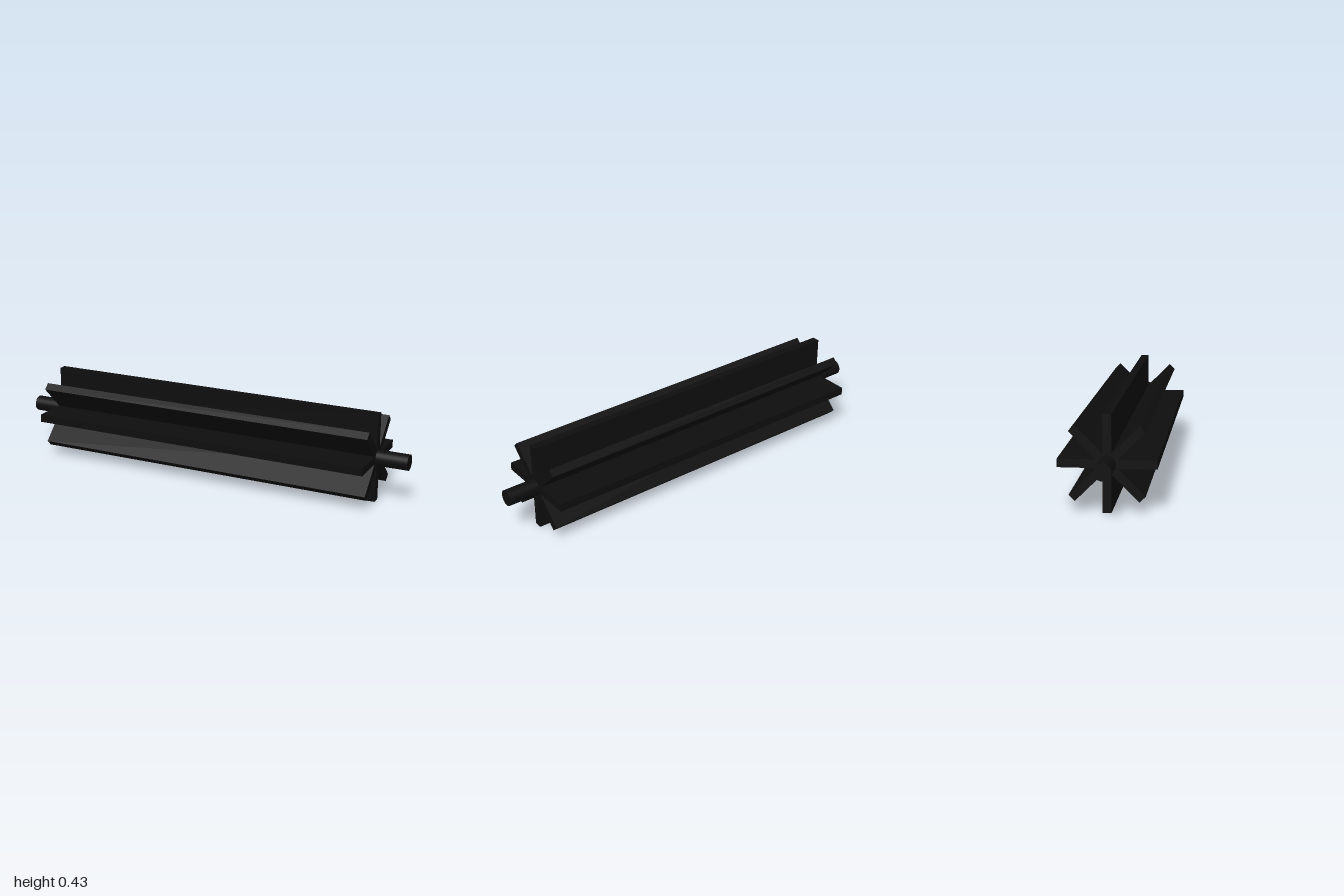
import * as THREE from 'three';

const AXIS_Y = 0.2125;      // height of the rotation axis
const FIN_REACH = 0.2125;   // axis to fin tip
const HALF_FIN = 0.01875;   // half the fin thickness
const FIN_COUNT = 8;
const ROTOR_LENGTH = 1.7;

export function createModel() {
  const black = new THREE.MeshStandardMaterial({ color: 0x0e0e0e });
  black.name = 'black';

  const model = new THREE.Group();
  model.name = 'paddleRoller';

  // Finned rotor: star outline with two tip corners and one valley per fin
  const step = (Math.PI * 2) / FIN_COUNT;
  const valley = HALF_FIN / Math.tan(step / 2);
  const outline = [];
  for (let i = 0; i < FIN_COUNT; i++) {
    const corners = [[FIN_REACH, -HALF_FIN], [FIN_REACH, HALF_FIN], [valley, HALF_FIN]];
    for (const [x, y] of corners) {
      outline.push(new THREE.Vector2(x, y).rotateAround(new THREE.Vector2(), i * step));
    }
  }
  const rotorGeometry = new THREE.ExtrudeGeometry(new THREE.Shape(outline), {
    depth: ROTOR_LENGTH, bevelEnabled: false,
  });
  rotorGeometry.translate(0, 0, -ROTOR_LENGTH / 2).rotateY(Math.PI / 2);
  const rotor = new THREE.Mesh(rotorGeometry, black);
  rotor.name = 'finnedRotor';
  rotor.position.y = AXIS_Y;
  model.add(rotor);

  // Round shaft running through the rotor and out of both ends
  const shaft = new THREE.Mesh(new THREE.CylinderGeometry(0.0375, 0.0375, 2, 32), black);
  shaft.name = 'shaft';
  shaft.rotation.z = Math.PI / 2;
  shaft.position.y = AXIS_Y;
  model.add(shaft);

  return model;
}
